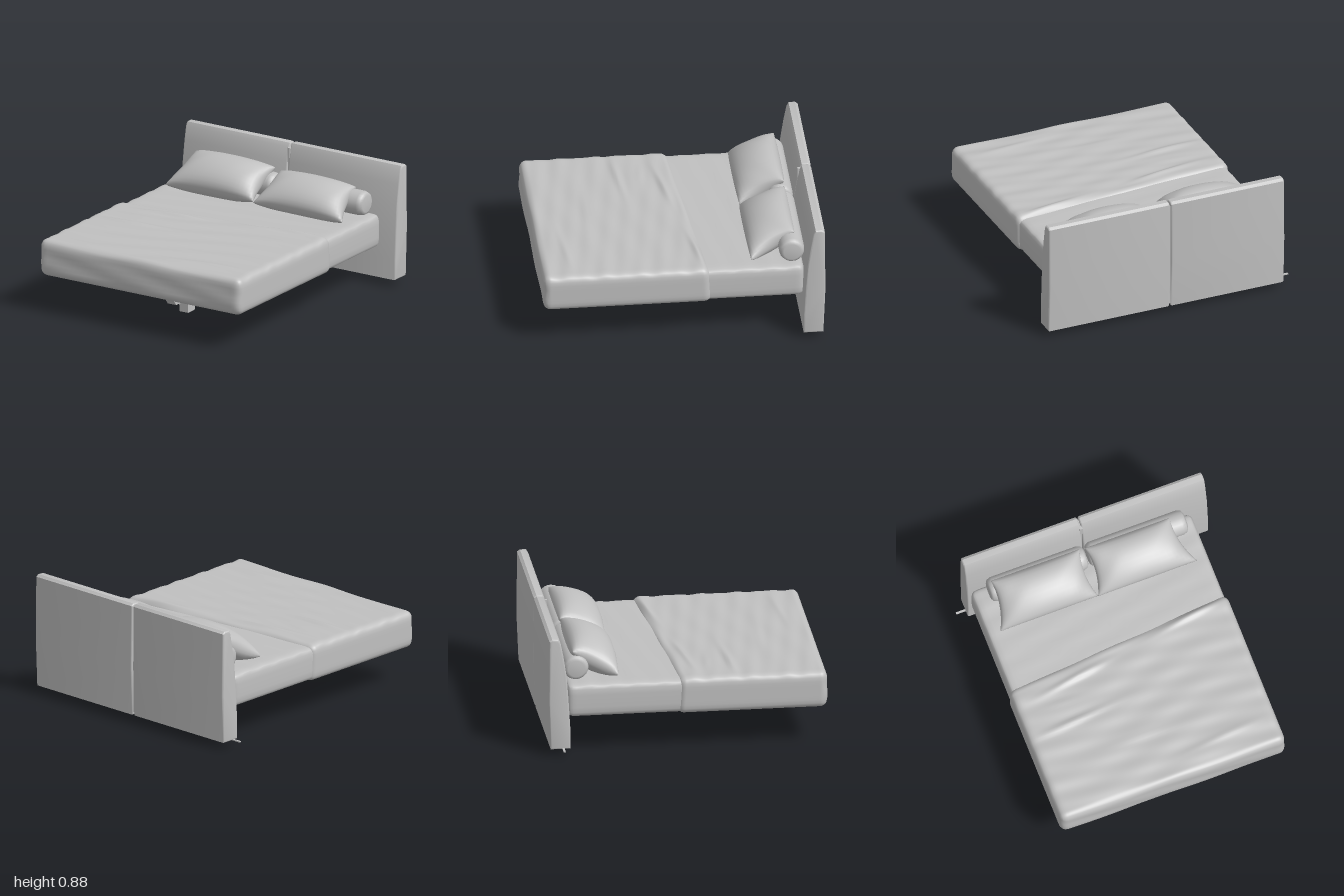
import * as THREE from 'three';
import { mergeVertices, toCreasedNormals } from 'three/addons/utils/BufferGeometryUtils.js';

const fabric = new THREE.MeshStandardMaterial({ color: 0xc0c0c0 });
fabric.name = 'light grey';

function add(group, name, geometry) {
  const mesh = new THREE.Mesh(geometry, fabric);
  mesh.name = name;
  group.add(mesh);
  return mesh;
}

// Moves every vertex by a rule, then rebuilds smooth normals
function reshape(geometry, rule) {
  geometry.deleteAttribute('uv');
  geometry.deleteAttribute('normal');
  const p = geometry.attributes.position;
  const v = new THREE.Vector3();
  for (let i = 0; i < p.count; i++) {
    rule(v.fromBufferAttribute(p, i));
    p.setXYZ(i, v.x, v.y, v.z);
  }
  const merged = mergeVertices(geometry, 1e-5);
  merged.computeVertexNormals();
  return merged;
}

// Soft slab with rounded edges; vertices gather near the edges
function softSlab(min, max, r, segments, finish) {
  const centre = min.clone().add(max).multiplyScalar(0.5);
  const half = max.clone().sub(min).multiplyScalar(0.5);
  const core = half.clone().subScalar(r);
  return reshape(new THREE.BoxGeometry(2, 2, 2, ...segments), (v) => {
    for (const k of ['x', 'y', 'z']) v[k] = Math.sin(v[k] * Math.PI / 2) * half[k];
    const inner = v.clone().clamp(core.clone().negate(), core);
    v.sub(inner).setLength(r).add(inner).add(centre);
    finish(v);
  });
}

// Extrudes a side outline of [z, y] points across x0..x1
function acrossX(points, x0, x1, bevel) {
  const shape = new THREE.Shape(points.map(([z, y]) => new THREE.Vector2(-z, y)));
  const geometry = new THREE.ExtrudeGeometry(shape, {
    depth: x1 - x0 - 2 * bevel, bevelEnabled: bevel > 0, bevelSize: bevel,
    bevelThickness: bevel, bevelOffset: -bevel, bevelSegments: 3,
  });
  geometry.rotateY(Math.PI / 2).translate(x0 + bevel, 0, 0);
  return toCreasedNormals(geometry, 0.6);
}

// Folds in the blanket: [x, z, length, slope, height]
const folds = [
  [-0.5, 0.32, 0.35, -0.08, 0.018], [-0.4, 0.02, 0.3, -0.15, 0.018],
  [0.5, -0.12, 0.3, -0.15, 0.016], [-0.55, 0.16, 0.2, 0.1, 0.008],
  [0.4, 0.8, 0.35, -0.08, 0.008], [-0.1, 0.6, 0.4, 0.06, 0.006],
];
function wrinkle(x, z) {
  let y = 0.0025 * Math.sin(28 * z + 5 * x + 2 * Math.sin(3 * x)) + 0.002 * Math.sin(47 * z - 7 * x);
  for (const [fx, fz, length, slope, height] of folds) {
    const along = (x - fx) / length;
    const off = (z - fz - slope * (x - fx)) / 0.025;
    y += height * Math.exp(-along * along * 2 - off * off);
  }
  return y;
}

// Pillow: a four-cornered pad pinched at its seam and puffed in the middle
function pillow(frontL, frontR, backL, backR, puff) {
  const normal = new THREE.Vector3(0, 0.89, 0.46);
  return reshape(new THREE.BoxGeometry(2, 2, 2, 22, 2, 14), (v) => {
    const u = Math.sin(v.x * Math.PI / 2);
    const w = Math.sin(v.z * Math.PI / 2);
    const side = v.y;
    const edge = Math.pow(Math.max(0, (1 - u * u) * (1 - w * w)), 0.42);
    const a = frontL.clone().lerp(frontR, (u + 1) / 2);
    const b = backL.clone().lerp(backR, (u + 1) / 2);
    b.lerp(a, (w + 1) / 2);
    // edges draw in slightly between the corners
    b.x -= 0.03 * u * Math.abs(u) * (1 - w * w);
    const crease = 1 + 0.04 * Math.sin(9 * u + 5 * w) * u * u;
    v.copy(b).addScaledVector(normal, side * puff * edge * crease);
  });
}

export function createModel() {
  const model = new THREE.Group();
  model.name = 'bed';
  const V = (x, y, z) => new THREE.Vector3(x, y, z);

  // Mattress and the blanket over its front part, with a slanting back hem
  add(model, 'mattress', softSlab(V(-0.86, 0.275, -0.865), V(0.81, 0.52, 0.96), 0.05, [24, 8, 40], (v) => {
    if (v.y > 0.5) v.y += 0.003 * Math.sin(35 * v.z + 6 * v.x);
  }));
  add(model, 'blanket', softSlab(V(-0.872, 0.268, -0.14), V(0.828, 0.538, 0.99), 0.055, [44, 12, 90], (v) => {
    const back = THREE.MathUtils.clamp((0.4 - v.z) / 0.54, 0, 1);
    v.z -= back * (0.08 * v.x + 0.06 * (0.4 - v.y));
    if (v.y > 0.48) v.y += wrinkle(v.x, v.z) * THREE.MathUtils.smoothstep(v.y, 0.48, 0.535);
    else if (v.y > 0.3) v.z += v.z > 0.95 ? 0.003 * Math.sin(8 * v.x + 40 * v.y) : 0;
  }));

  // Pillows resting against bolsters
  const pillows = new THREE.Group();
  pillows.name = 'pillows';
  model.add(pillows);
  add(pillows, 'rightPillow', pillow(V(-0.77, 0.55, -0.49), V(-0.03, 0.56, -0.49),
    V(-0.72, 0.72, -0.81), V(-0.05, 0.72, -0.81), 0.125));
  add(pillows, 'leftPillow', pillow(V(-0.03, 0.55, -0.49), V(0.72, 0.54, -0.495),
    V(-0.01, 0.70, -0.81), V(0.63, 0.70, -0.81), 0.12));
  for (const [name, x0, x1] of [['rightBolster', -0.745, -0.015], ['leftBolster', 0.0, 0.74]]) {
    const h = (x1 - x0) / 2;
    const profile = [[0, -h], [0.06, -h], [0.08, -h + 0.012], [0.09, -h + 0.04],
      [0.09, h - 0.04], [0.08, h - 0.012], [0.06, h], [0, h]];
    const roll = new THREE.LatheGeometry(profile.map(([r, y]) => new THREE.Vector2(r, y)), 24);
    roll.rotateZ(Math.PI / 2);
    add(pillows, name, roll).position.set((x0 + x1) / 2, 0.6, -0.785);
  }

  // Headboard: two upholstered panels, thicker towards the floor
  const panel = [[-0.985, 0.05], [-0.845, 0.05], [-0.845, 0.2], [-0.858, 0.42], [-0.872, 0.6],
    [-0.895, 0.75], [-0.915, 0.85], [-0.93, 0.878], [-0.975, 0.88], [-0.995, 0.865], [-1, 0.4]];
  const headboard = new THREE.Group();
  headboard.name = 'headboard';
  model.add(headboard);
  add(headboard, 'rightPanel', acrossX(panel, -0.88, -0.004, 0.012));
  add(headboard, 'leftPanel', acrossX(panel, 0.004, 0.94, 0.012));
  const seam = add(headboard, 'panelSeam', new THREE.BoxGeometry(0.02, 0.78, 0.08));
  seam.position.set(0, 0.46, -0.94);
  const strip = add(headboard, 'trimEnd', new THREE.BoxGeometry(0.08, 0.008, 0.015));
  strip.position.set(-0.91, 0.055, -0.895);

  // Central support: a cranked rail with two tapered feet
  const frame = new THREE.Group();
  frame.name = 'supportFrame';
  model.add(frame);
  const rail = [[0.78, 0.275], [0.67, 0.262], [0.57, 0.145], [-0.56, 0.145], [-0.67, 0.225],
    [-0.78, 0.275], [-0.85, 0.275], [-0.85, 0.245], [-0.79, 0.24], [-0.68, 0.185],
    [-0.575, 0.1], [0.585, 0.1], [0.69, 0.225], [0.78, 0.255]];
  add(frame, 'rail', acrossX(rail, -0.045, 0.028, 0));
  for (const [name, z, s] of [['frontFoot', 0.385, 1], ['backFoot', -0.4, -1]]) {
    const foot = [[-0.06, 0.11], [-0.035, 0], [0.05, 0], [0.055, 0.11]];
    const outline = foot.map(([dz, y]) => [z + s * dz, y]);
    add(frame, name, acrossX(outline, -0.045, 0.028, 0));
  }
  const plate = add(frame, 'footPlate', new THREE.BoxGeometry(0.06, 0.025, 0.1));
  plate.position.set(-0.008, 0.085, 0.28);
  const beam = add(frame, 'underBeam', new THREE.BoxGeometry(0.073, 0.012, 1.6));
  beam.position.set(-0.008, 0.268, -0.05);

  return model;
}
